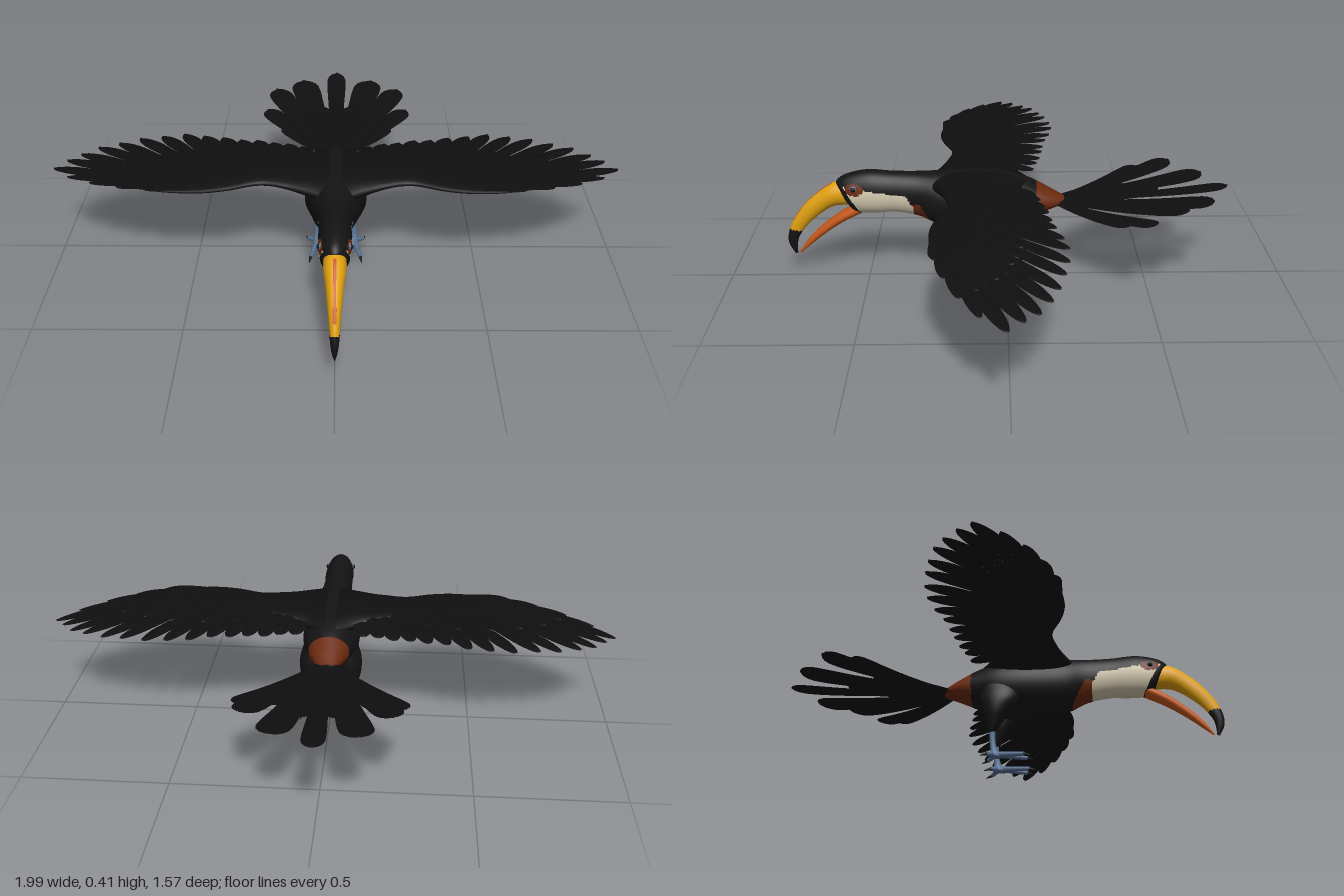
import * as THREE from 'three';
import { mergeGeometries } from 'three/addons/utils/BufferGeometryUtils.js';

const V = (x, y, z) => new THREE.Vector3(x, y, z);

function material(name, color, side = THREE.FrontSide) {
  const m = new THREE.MeshStandardMaterial({ color, side });
  m.name = name;
  return m;
}

function add(parent, name, geometry, mat) {
  const mesh = new THREE.Mesh(geometry, mat);
  mesh.name = name;
  parent.add(mesh);
  return mesh;
}

// Smooth loft through elliptical sections: [zTop, yTop, zBottom, yBottom, halfWidth].
// pick(point) gives the material index of each face.
function loft(rows, steps, sides, pick = () => 0) {
  const spline = new THREE.CubicInterpolant(rows.map((_, i) => i), rows.flat(), 5);
  const pts = [], groups = [];
  for (let i = 0; i <= steps; i++) {
    const [zt, yt, zb, yb, w] = Array.from(spline.evaluate((i / steps) * (rows.length - 1)));
    for (let j = 0; j < sides; j++) {
      const a = (j / sides) * Math.PI * 2, s = Math.sin(a) / 2;
      pts.push(V(w * Math.cos(a), (yt + yb) / 2 + (yt - yb) * s, (zt + zb) / 2 + (zt - zb) * s));
    }
  }
  for (let i = 0; i < steps; i++) {
    for (let j = 0; j < sides; j++) {
      const k = (j + 1) % sides;
      const a = i * sides + j, b = i * sides + k, c = b + sides, d = a + sides;
      const mid = pts[a].clone().add(pts[c]).multiplyScalar(0.5);
      (groups[pick(mid)] ??= []).push(a, b, c, a, c, d);
    }
  }
  const g = new THREE.BufferGeometry().setFromPoints(pts);
  g.setIndex(groups.flat());
  let start = 0;
  groups.forEach((list, m) => { g.addGroup(start, list.length, m); start += list.length; });
  g.computeVertexNormals();
  return g;
}

// Thin cambered feather with a rounded tip, optionally arched upward
function feather(root, tip, width, arch = 0, base = 0.5, round = 0.2) {
  const n = 16, pts = [], index = [];
  const dir = tip.clone().sub(root);
  const side = V(dir.z, 0, -dir.x).normalize();
  for (let i = 0; i <= n; i++) {
    const t = 1 - (1 - i / n) ** 1.5;
    const end = Math.max(0, (t - 1 + round) / round);
    const w = width * 0.5 * Math.min(1, base + t * 1.2 * (1 - base)) * Math.sqrt(Math.max(0.002, 1 - end * end));
    const c = root.clone().lerp(tip, t);
    c.y += arch * 4 * t * (1 - t);
    for (const k of [-1, 0, 1]) {
      const p = c.clone().addScaledVector(side, k * w);
      p.y += (1 - Math.abs(k)) * 0.004;
      pts.push(p);
    }
    if (i < n) for (const k of [0, 1]) {
      const a = i * 3 + k;
      index.push(a, a + 1, a + 4, a, a + 4, a + 3);
    }
  }
  const g = new THREE.BufferGeometry().setFromPoints(pts);
  g.setIndex(index);
  g.computeVertexNormals();
  return g;
}

// Tapered round limb between two points
function limb(a, b, ra, rb) {
  const d = b.clone().sub(a);
  const g = new THREE.CylinderGeometry(rb, ra, d.length(), 10);
  g.applyQuaternion(new THREE.Quaternion().setFromUnitVectors(V(0, 1, 0), d.normalize()));
  const m = a.clone().add(b).multiplyScalar(0.5);
  return g.translate(m.x, m.y, m.z);
}

const wingY = x => 0.378 - 0.045 * Math.max(0, x - 0.3) ** 2 / 0.49;

function buildWing(plumage) {
  const wing = new THREE.Group();
  // Fleshy arm, lofted outward along x: [x, leading z, x, trailing z, half thickness]
  const arm = loft([
    [0.02, 0.28, 0.02, -0.08, 0.05], [0.09, 0.245, 0.09, -0.03, 0.04], [0.17, 0.215, 0.17, 0, 0.026],
    [0.26, 0.2, 0.26, 0.03, 0.02], [0.36, 0.235, 0.36, 0.06, 0.017], [0.45, 0.25, 0.45, 0.1, 0.014],
    [0.56, 0.24, 0.56, 0.15, 0.01], [0.66, 0.21, 0.66, 0.18, 0.002],
  ], 40, 24);
  const p = arm.attributes.position;
  for (let i = 0; i < p.count; i++) {
    const x = p.getZ(i);
    p.setXYZ(i, x, p.getX(i) + wingY(x) - 0.018 * Math.max(0, 1 - x / 0.2), p.getY(i));
  }
  arm.computeVertexNormals();
  add(wing, 'wingArm', arm, plumage);

  const roots = new THREE.CatmullRomCurve3([V(0.09, 0, 0.1), V(0.24, 0, 0.11), V(0.36, 0, 0.14), V(0.46, 0, 0.18), V(0.54, 0, 0.215)]);
  const tips = new THREE.CatmullRomCurve3([
    V(0.12, 0, -0.1), V(0.245, 0, -0.13), V(0.385, 0, -0.15), V(0.555, 0, -0.187),
    V(0.74, 0, -0.16), V(0.9, 0, -0.095), V(0.995, 0, 0.01),
  ]);
  const row = (name, count, reach, width, lift) => {
    const list = [];
    for (let i = 0; i < count; i++) {
      const t = i / (count - 1);
      const a = roots.getPoint(t);
      const b = a.clone().lerp(tips.getPoint(t), reach);
      a.y = wingY(a.x) + lift;
      b.y = wingY(b.x) + lift * 0.6 - 0.016 * reach * (1 - t) + (i % 2) * 0.003;
      list.push(feather(a, b, width * (1 - 0.15 * t), 0.008 * reach, 0.6, 0.28));
    }
    add(wing, name, mergeGeometries(list), plumage);
  };
  row('flightFeathers', 15, 1, 0.066, 0);
  row('upperCoverts', 16, 0.6, 0.055, 0.009);
  row('lesserCoverts', 16, 0.36, 0.05, 0.015);
  row('underCoverts', 16, 0.55, 0.055, -0.008);
  // Short feathers along the front of the wing tip
  const front = [[0.93, 0.085], [0.84, 0.145], [0.74, 0.19], [0.64, 0.222]].map(([x, z], i) =>
    feather(V(0.5 - i * 0.02, wingY(0.5), 0.215 + i * 0.004), V(x, wingY(x) + 0.002 * i, z), 0.05, 0.008, 0.6, 0.3));
  add(wing, 'leadingFeathers', mergeGeometries(front), plumage);
  return wing;
}

export function createModel() {
  const bird = new THREE.Group();
  bird.name = 'bird';
  const black = material('black', 0x141414);
  const plumage = material('featherBlack', 0x0f0f0f, THREE.DoubleSide);
  const cream = material('cream', 0xd6cbb0);
  const rust = material('rust', 0x6a2a10);
  const yellow = material('yellow', 0xe0a010);
  const orange = material('orange', 0xc4581a);
  const blue = material('blueGrey', 0x587192);

  // Body, neck and head with bib, chest crescent, rump and eye skin
  const bodyColour = ({ x, y, z }) => {
    if (z < -0.105 && z > -0.205) return 2;
    if (((z - 0.535) / 0.032) ** 2 + ((y - 0.352) / 0.021) ** 2 < 1) return 2;
    const fromBeak = 0.53 + (y - 0.25) * 0.58 - z;
    const backEdge = 0.33 + Math.max(0, y - 0.29) * 0.6;
    if (z > backEdge && y < 0.33 + 0.15 * (z - 0.36) && fromBeak > 0.02) return 1;
    if (z > 0.265 + (y - 0.23) * 0.6 && z <= backEdge && y < 0.3) return 2;
    return 0;
  };
  add(bird, 'body', loft([
    [-0.225, 0.3, -0.225, 0.29, 0.002], [-0.2, 0.31, -0.2, 0.28, 0.028], [-0.15, 0.338, -0.14, 0.258, 0.058],
    [-0.08, 0.375, -0.07, 0.225, 0.08], [0, 0.398, 0, 0.195, 0.098], [0.1, 0.403, 0.1, 0.192, 0.1],
    [0.22, 0.404, 0.23, 0.205, 0.085], [0.31, 0.403, 0.31, 0.238, 0.061], [0.4, 0.405, 0.39, 0.253, 0.053],
    [0.49, 0.411, 0.45, 0.251, 0.055], [0.565, 0.395, 0.5, 0.251, 0.051], [0.6, 0.37, 0.53, 0.252, 0.038],
    [0.6, 0.34, 0.56, 0.285, 0.005],
  ], 168, 80, bodyColour), [black, cream, rust]);

  // Beak: yellow upper half with an orange ridge and black tip, orange lower half
  add(bird, 'upperBeak', loft([
    [0.57, 0.375, 0.535, 0.28, 0.036], [0.62, 0.36, 0.6, 0.279, 0.036], [0.665, 0.33, 0.64, 0.262, 0.03],
    [0.713, 0.287, 0.685, 0.228, 0.024], [0.757, 0.23, 0.72, 0.193, 0.018], [0.782, 0.174, 0.747, 0.153, 0.014],
    [0.785, 0.13, 0.755, 0.12, 0.009], [0.766, 0.088, 0.756, 0.09, 0.001],
  ], 70, 40, ({ x, y, z }) => {
    if (y < 0.183 + (z - 0.75) * 0.2) return 1;
    const ridge = Math.abs(x) < 0.005 && y > 0.31 - (z - 0.67) * 0.95;
    return ridge ? 2 : 0;
  }), [yellow, black, orange]);
  add(bird, 'lowerBeak', loft([
    [0.54, 0.282, 0.51, 0.252, 0.03], [0.6, 0.246, 0.575, 0.219, 0.027], [0.65, 0.208, 0.63, 0.183, 0.021],
    [0.7, 0.162, 0.677, 0.147, 0.015], [0.73, 0.123, 0.718, 0.113, 0.009], [0.75, 0.092, 0.745, 0.09, 0.001],
  ], 40, 28), orange);

  for (const side of [1, -1]) {
    const label = side > 0 ? 'left' : 'right';
    // Eye: blue rim and dark ball
    const rim = add(bird, label + 'EyeRim', new THREE.SphereGeometry(0.013, 20, 14), blue);
    rim.position.set(side * 0.045, 0.354, 0.536);
    rim.scale.x = 0.5;
    const eye = add(bird, label + 'Eye', new THREE.SphereGeometry(0.009, 20, 14), black);
    eye.position.set(side * 0.048, 0.354, 0.537);

    const wing = buildWing(plumage);
    wing.name = label + 'Wing';
    wing.scale.x = side;
    bird.add(wing);

    // Leg: feathered thigh, shank, two toes forward and two back
    const leg = new THREE.Group();
    leg.name = label + 'Leg';
    leg.position.x = side * 0.068;
    bird.add(leg);
    add(leg, 'thigh', loft([
      [0.06, 0.29, -0.06, 0.29, 0.025], [0.07, 0.23, -0.07, 0.23, 0.042], [0.036, 0.18, -0.058, 0.18, 0.041],
      [0.008, 0.14, -0.045, 0.14, 0.029], [-0.013, 0.108, -0.04, 0.108, 0.016], [-0.025, 0.095, -0.03, 0.095, 0.002],
    ], 30, 24), black);
    add(leg, 'shank', loft([
      [-0.015, 0.12, -0.039, 0.12, 0.011], [-0.015, 0.07, -0.035, 0.07, 0.01],
      [-0.007, 0.035, -0.033, 0.035, 0.013], [0.006, 0.01, -0.036, 0.01, 0.017], [-0.01, 0.004, -0.015, 0.004, 0.001],
    ], 20, 14), blue);
    for (const [x, z] of [[-0.02, 0.095], [0.022, 0.085], [-0.03, -0.042], [0.034, -0.042]]) {
      const end = V(side * x, 0.009, z);
      const claw = V(side * x * 1.2, 0.001, z + Math.sign(z) * 0.024);
      add(leg, 'toe', limb(V(0, 0.019, -0.016), end, 0.011, 0.007), blue);
      add(leg, 'claw', limb(end, claw, 0.006, 0.001), black);
    }
  }

  // Fanned tail feathers: [tip x, tip y, tip z, width]
  const tail = [feather(V(0, 0.302, -0.17), V(0, 0.345, -0.785), 0.075, -0.012, 0.35, 0.1)];
  const fan = [[0.137, 0.342, -0.715, 0.11], [0.24, 0.352, -0.61, 0.095], [0.27, 0.315, -0.5, 0.08], [0.19, 0.28, -0.43, 0.09], [0.07, 0.305, -0.55, 0.09]];
  fan.forEach(([x, y, z, w], i) => {
    for (const s of [1, -1]) {
      tail.push(feather(V(s * 0.012, 0.299 - i * 0.003, -0.17), V(s * x, y, z), w, -0.012, 0.3, 0.1));
    }
  });
  add(bird, 'tail', mergeGeometries(tail), plumage);
  return bird;
}
